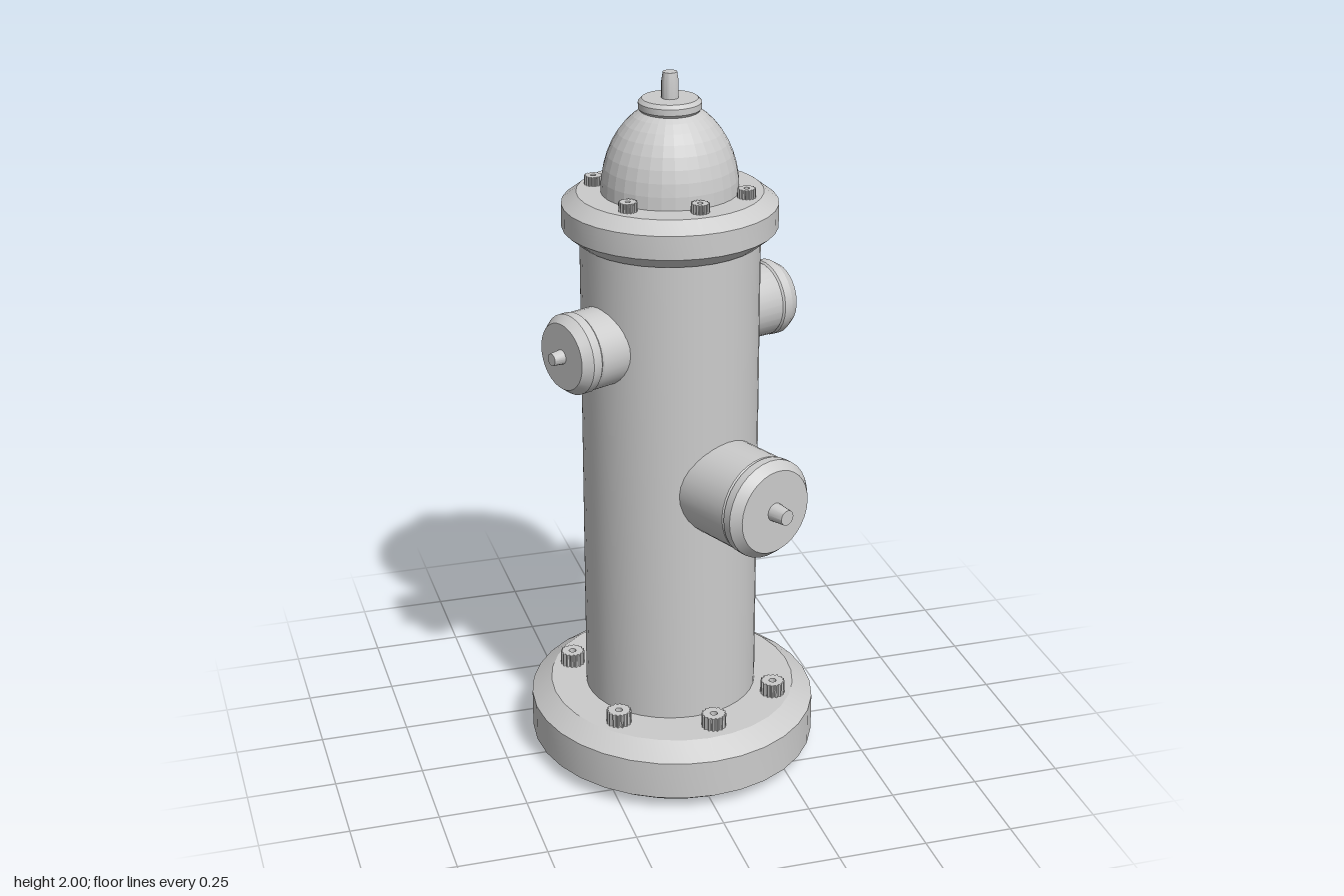
import * as THREE from 'three';
import { toCreasedNormals } from 'three/addons/utils/BufferGeometryUtils.js';

const material = new THREE.MeshStandardMaterial({ color: 0xcccccc });
const facetedMaterial = new THREE.MeshStandardMaterial({ color: 0xcccccc, flatShading: true });

// Turned solid from [radius, height] pairs, bottom to top
function turned(name, profile, segments = 32, mat = material) {
  const points = profile.map(([r, y]) => new THREE.Vector2(r, y));
  const geometry = toCreasedNormals(new THREE.LatheGeometry(points, segments), 0.5);
  const mesh = new THREE.Mesh(geometry, mat);
  mesh.name = name;
  return mesh;
}

// Knurled bolt head with a small centre hole, standing on y = 0
function boltGeometry(radius, height, teeth = 16) {
  const shape = new THREE.Shape();
  for (let i = 0; i < teeth * 4; i++) {
    const r = i % 4 < 2 ? radius : radius * 0.86;
    const a = (i / (teeth * 4)) * Math.PI * 2;
    if (i === 0) shape.moveTo(r, 0);
    else shape.lineTo(r * Math.cos(a), r * Math.sin(a));
  }
  shape.closePath();
  const hole = new THREE.Path();
  hole.absarc(0, 0, radius * 0.3, 0, Math.PI * 2, true);
  shape.holes.push(hole);
  const geometry = new THREE.ExtrudeGeometry(shape, { depth: height, bevelEnabled: false, curveSegments: 6 });
  return geometry.rotateX(-Math.PI / 2);
}

function boltRing(name, geometry, y, places) {
  const ring = new THREE.Group();
  ring.name = name;
  for (const [x, z] of places) {
    const bolt = new THREE.Mesh(geometry, material);
    bolt.name = 'bolt';
    bolt.position.set(x, y, z);
    ring.add(bolt);
  }
  return ring;
}

// Side outlet: pipe, chamfered cap and tapered nut along a horizontal direction
function outlet(name, { y, dir, radius, face, tip, lip, faceRadius, nut }) {
  const group = new THREE.Group();
  group.name = name;
  const groove = radius * 0.95;
  group.add(
    turned('outletPipe', [[0, 0.15], [radius * 0.98, 0.15], [radius * 0.98, lip], [groove, lip + 0.006], [0, lip + 0.006]]),
    turned('outletCap', [[0, lip + 0.004], [groove, lip + 0.004], [radius, lip + 0.01],
      [radius, face - 0.026], [faceRadius, face], [0, face]]),
    turned('outletNut', [[0, face - 0.01], [nut, face - 0.01], [nut * 0.8, tip], [0, tip]], 16)
  );
  group.position.set(-0.005, y, -0.012);
  const axis = new THREE.Vector3(dir[0], 0, dir[1]).normalize();
  group.quaternion.setFromUnitVectors(new THREE.Vector3(0, 1, 0), axis);
  return group;
}

export function createModel() {
  const model = new THREE.Group();
  model.name = 'hydrant';

  // Base plate, slightly longer front to back
  const base = turned('basePlate', [[0, 0], [0.35, 0], [0.4065, 0.04], [0.4065, 0.15], [0.35, 0.19], [0, 0.19]]);
  base.scale.z = 1.063;
  base.position.z = -0.013;
  model.add(base);

  // Barrel, top flange, bonnet and operating nut share one axis
  const column = new THREE.Group();
  column.name = 'column';
  column.position.set(-0.005, 0, -0.011);
  column.add(
    turned('barrel', [[0.245, 0.17], [0.245, 1.56]], 40),
    turned('topFlange', [[0, 1.545], [0.25, 1.545], [0.2925, 1.58], [0.2925, 1.645], [0.252, 1.676], [0, 1.676]])
  );
  const dome = [];
  for (let i = 0; i <= 8; i++) {
    const t = (i / 8) * 1.16;
    dome.push([0.187 * Math.cos(t), 1.676 + 0.245 * Math.sin(t)]);
  }
  const bonnet = turned('bonnet', dome, 32, facetedMaterial);
  bonnet.scale.z = 0.965;
  column.add(
    bonnet,
    turned('bonnetCollar', [[0, 1.89], [0.075, 1.89], [0.085, 1.903], [0.085, 1.92], [0.075, 1.93], [0, 1.93]]),
    turned('operatingNut', [[0, 1.92], [0.023, 1.92], [0.023, 1.975], [0.019, 2], [0, 2]], 20)
  );
  model.add(column);

  // Bolts sit a little unevenly around both flanges
  model.add(boltRing('flangeBolts', boltGeometry(0.025, 0.026), 1.675,
    [[0, -0.227], [0.167, -0.124], [0.172, 0.107], [0.018, 0.192], [-0.16, 0.129], [-0.189, -0.117]]));
  model.add(boltRing('baseBolts', boltGeometry(0.035, 0.04), 0.189,
    [[0.006, -0.327], [-0.26, -0.165], [-0.218, 0.203], [0.033, 0.296], [0.25, 0.167], [0.24, -0.19]]));

  // Large front outlet and two smaller side outlets
  model.add(outlet('frontOutlet', { y: 0.882, dir: [0.4, 0.917], radius: 0.14, face: 0.44, tip: 0.488,
    lip: 0.38, faceRadius: 0.118, nut: 0.027 }));
  model.add(outlet('leftOutlet', { y: 1.302, dir: [0.953, -0.302], radius: 0.106, face: 0.365, tip: 0.395,
    lip: 0.305, faceRadius: 0.09, nut: 0.021 }));
  model.add(outlet('rightOutlet', { y: 1.286, dir: [-0.926, 0.378], radius: 0.111, face: 0.367, tip: 0.4,
    lip: 0.305, faceRadius: 0.092, nut: 0.021 }));

  return model;
}
